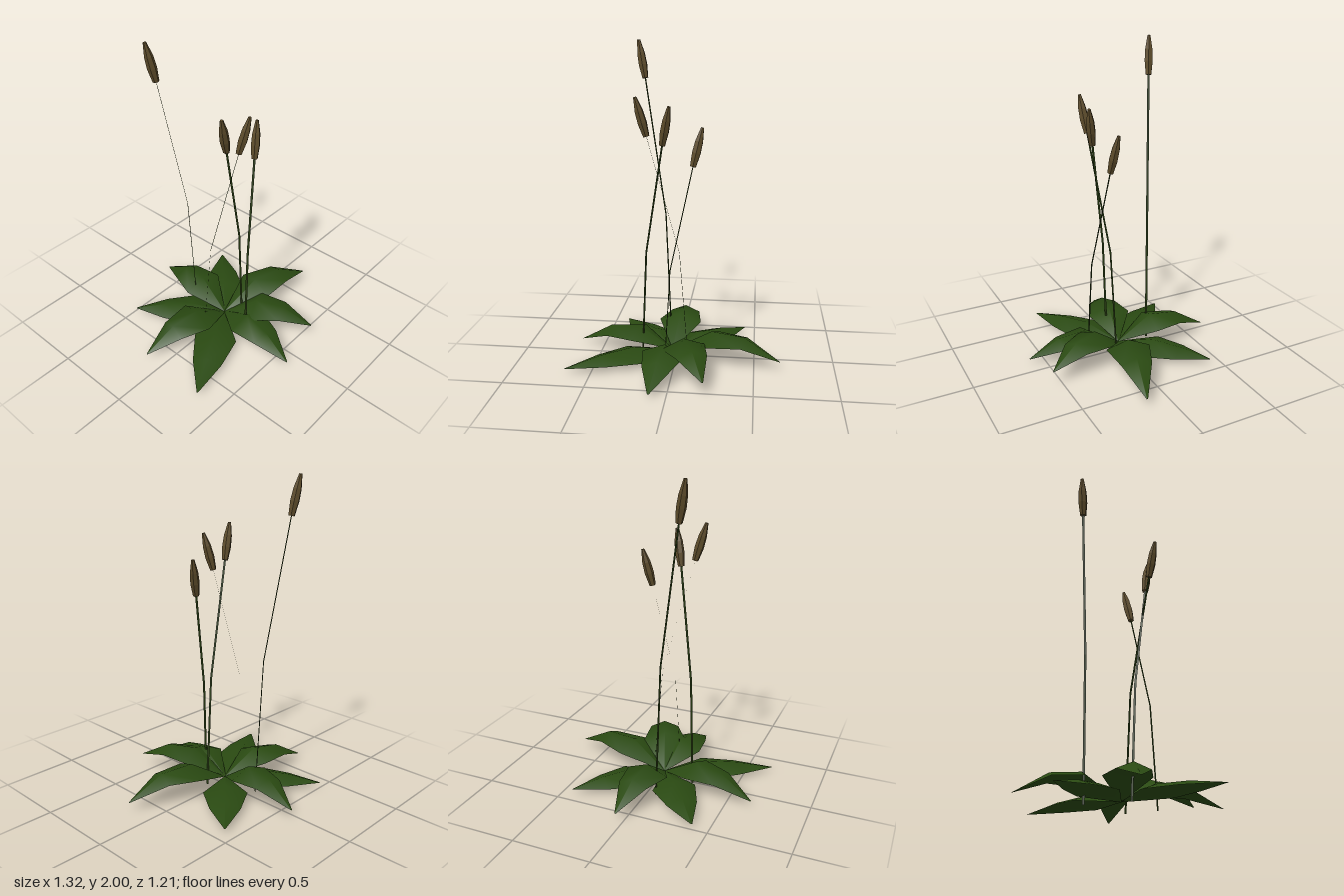
import * as THREE from 'three';

const leafGreen = new THREE.MeshStandardMaterial({ color: 0x2a4a12, side: THREE.DoubleSide });
leafGreen.name = 'leaf green';
const stemGreen = new THREE.MeshStandardMaterial({ color: 0x24360f, side: THREE.DoubleSide });
stemGreen.name = 'stem green';
const seedBrown = new THREE.MeshStandardMaterial({ color: 0x5c4b2a, flatShading: true });
seedBrown.name = 'seed brown';

// Surface through rows of points, all rows the same length
function strip(rows) {
  const n = rows[0].length;
  const index = [];
  for (let r = 0; r < rows.length - 1; r++) {
    for (let c = 0; c < n - 1; c++) {
      const a = r * n + c, b = a + n;
      index.push(a, a + 1, b, a + 1, b + 1, b);
    }
  }
  const geometry = new THREE.BufferGeometry();
  geometry.setAttribute('position', new THREE.Float32BufferAttribute(rows.flat(2), 3));
  geometry.setIndex(index);
  geometry.computeVertexNormals();
  return geometry;
}

// Roof-shaped leaf: narrow base, two wide sections and a pointed tip
function makeLeaf({ tip: [tx, ty, tz], heights }) {
  const cx = -0.025, cz = 0;
  const dx = tx - cx, dz = tz - cz;
  const length = Math.hypot(dx, dz);
  const sections = [
    [0, 0.004, 0.04, 0],
    [0.37, 0.14, heights[0], 0.055],
    [0.67, 0.095, heights[1], 0.04],
    [1, 0.004, ty, 0],
  ];
  const rows = sections.map(([t, half, y, drop]) => [-1, 0, 1].map((s) => [
    cx + dx * t + (s * half * dz) / length,
    y - Math.abs(s) * drop,
    cz + dz * t - (s * half * dx) / length,
  ]));
  return new THREE.Mesh(strip(rows), leafGreen);
}

// Flat ribbon stem, its width square to the way it leans
function makeStem(points, width) {
  const first = points[0], last = points[points.length - 1];
  const dx = last[0] - first[0], dz = last[2] - first[2];
  const k = width / 2 / Math.hypot(dx, dz);
  const rows = points.map(([x, y, z]) => [-1, 1].map((s) => [x + s * k * dz, y, z - s * k * dx]));
  return new THREE.Mesh(strip(rows), stemGreen);
}

// Six-sided seed head running from base to tip
function makeSeedHead(base, tip) {
  const a = new THREE.Vector3(...base), b = new THREE.Vector3(...tip);
  const axis = b.clone().sub(a);
  const h = axis.length();
  const profile = [[0, 0], [0.02, 0], [0.029, 0.35], [0.026, 0.65], [0.01, 1], [0, 1]]
    .map(([r, t]) => new THREE.Vector2(r, t * h));
  const mesh = new THREE.Mesh(new THREE.LatheGeometry(profile, 6), seedBrown);
  mesh.position.copy(a);
  mesh.quaternion.setFromUnitVectors(new THREE.Vector3(0, 1, 0), axis.normalize());
  return mesh;
}

export function createModel() {
  const plant = new THREE.Group();
  plant.name = 'plant';

  // Leaf rosette: arching leaves between lower, flatter ones
  const leaves = [
    { tip: [0.04, 0.06, -0.61], heights: [0.2, 0.185] },
    { tip: [0.43, 0.03, -0.43], heights: [0.1, 0.08] },
    { tip: [0.66, 0.06, 0.16], heights: [0.2, 0.19] },
    { tip: [0.21, 0.1, 0.56], heights: [0.21, 0.205] },
    { tip: [-0.1, 0.03, 0.6], heights: [0.17, 0.14] },
    { tip: [-0.66, 0.03, 0.34], heights: [0.1, 0.08] },
    { tip: [-0.65, 0.03, -0.12], heights: [0.18, 0.155] },
    { tip: [-0.4, 0.03, -0.49], heights: [0.1, 0.08] },
  ];
  const rosette = new THREE.Group();
  rosette.name = 'leafRosette';
  leaves.forEach((leaf, i) => {
    const mesh = makeLeaf(leaf);
    mesh.name = `leaf${i + 1}`;
    rosette.add(mesh);
  });
  plant.add(rosette);

  // Flower stalks: ground, bend, seed head base, seed head tip
  const stalks = [
    [[-0.225, 0, -0.01], [-0.19, 0.7, 0.03], [-0.07, 1.4, 0.15], [-0.025, 1.63, 0.19]],
    [[-0.06, 0, -0.23], [-0.1, 0.88, -0.25], [-0.24, 1.76, -0.325], [-0.285, 2, -0.35]],
    [[-0.055, 0, 0.21], [-0.02, 0.64, 0.19], [0.11, 1.27, 0.12], [0.163, 1.5, 0.09]],
    [[0.08, 0, 0.065], [0.025, 0.72, 0.08], [-0.165, 1.45, 0.14], [-0.228, 1.68, 0.16]],
  ];
  stalks.forEach((points, i) => {
    const stalk = new THREE.Group();
    stalk.name = `flowerStalk${i + 1}`;
    const stem = makeStem(points.slice(0, 3), 0.014);
    stem.name = 'stem';
    const head = makeSeedHead(points[2], points[3]);
    head.name = 'seedHead';
    stalk.add(stem, head);
    plant.add(stalk);
  });
  return plant;
}
